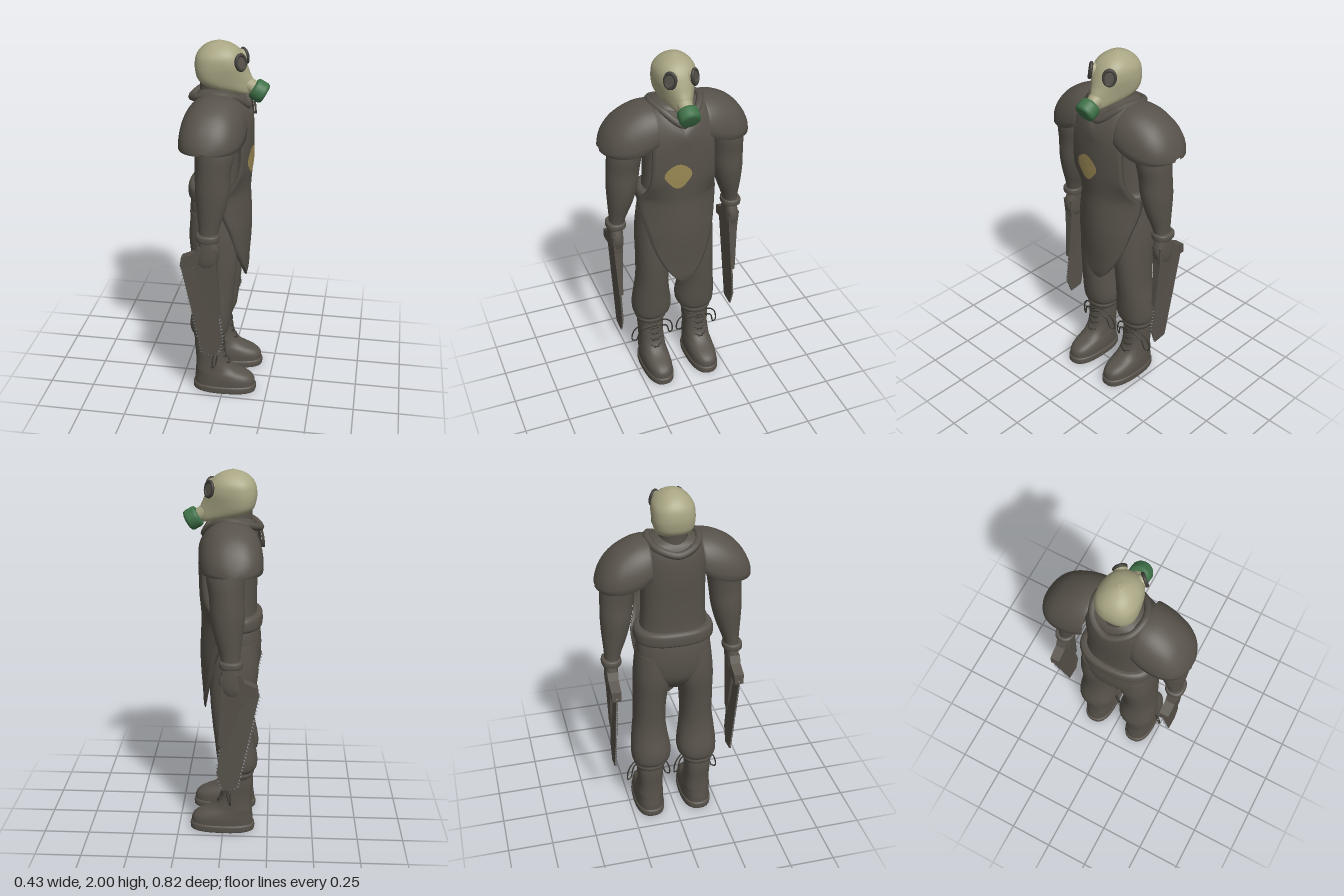
import * as THREE from 'three';
import { mergeGeometries } from 'three/addons/utils/BufferGeometryUtils.js';

const mat = (name, color) => new THREE.MeshStandardMaterial({ name, color });
const V = (x, y, z) => new THREE.Vector3(x, y, z);

// Catmull-Rom refinement of rows of numbers
function refine(rows, n = 4) {
  const out = [];
  for (let i = 0; i < rows.length - 1; i++) {
    const [a, b, c, d] = [-1, 0, 1, 2].map(k => rows[Math.min(rows.length - 1, Math.max(0, i + k))]);
    for (let s = 0; s < n; s++) {
      const t = s / n;
      out.push(b.map((p, k) => {
        const quad = 2 * a[k] - 5 * p + 4 * c[k] - d[k];
        const cubic = 3 * (p - c[k]) + d[k] - a[k];
        return p + 0.5 * t * (c[k] - a[k] + t * (quad + t * cubic));
      }));
    }
  }
  out.push(rows[rows.length - 1]);
  return out;
}

// Closed skin over a stack of equal-length rings
function skin(rings, caps = true) {
  const n = rings[0].length, pos = [], idx = [];
  rings.forEach(r => r.forEach(p => pos.push(p.x, p.y, p.z)));
  for (let i = 0; i < rings.length - 1; i++)
    for (let j = 0; j < n; j++) {
      const a = i * n + j, b = i * n + (j + 1) % n;
      idx.push(a, a + n, b, b, a + n, b + n);
    }
  if (caps) [0, rings.length - 1].forEach(k => {
    const base = pos.length / 3, r = rings[k];
    const mid = r.reduce((s, p) => s.add(p), V(0, 0, 0)).divideScalar(n);
    [mid, ...r].forEach(p => pos.push(p.x, p.y, p.z));
    for (let j = 0; j < n; j++) {
      const a = base + 1 + j, b = base + 1 + (j + 1) % n;
      idx.push(base, k ? b : a, k ? a : b);
    }
  });
  const g = new THREE.BufferGeometry();
  g.setAttribute('position', new THREE.Float32BufferAttribute(pos, 3));
  g.setIndex(idx);
  g.computeVertexNormals();
  return g;
}

// Rows, bottom to top: y, centre x, centre z, half depth, half width, forward taper
function loft(rows, power = 2, seg = 28) {
  const e = v => Math.sign(v) * Math.abs(v) ** (2 / power);
  const fine = refine(rows.map(r => [...r, 0].slice(0, 6)));
  return skin(fine.map(([y, cx, cz, rx, rz, t]) => Array.from({ length: seg }, (_, j) => {
    const a = j / seg * Math.PI * 2, c = e(Math.cos(a));
    return V(cx + rx * c, y, cz + rz * e(Math.sin(a)) * (1 - t * c));
  })));
}

// Mirror a geometry across z with its winding put right
function mirrored(geo) {
  const g = geo.clone().scale(1, 1, -1);
  const src = g.index ? [...g.index.array] : Array.from({ length: g.attributes.position.count }, (_, i) => i);
  for (let i = 0; i < src.length; i += 3) [src[i + 1], src[i + 2]] = [src[i + 2], src[i + 1]];
  g.setIndex(src);
  return g;
}

const tube = (pts, r, closed = false, n = 32) =>
  new THREE.TubeGeometry(new THREE.CatmullRomCurve3(pts.map(p => V(...p)), closed), n, r, 8, closed);

// Flat outline in x and y, extruded around z = 0
function plate(pts, depth) {
  const shape = new THREE.Shape(pts.map(p => new THREE.Vector2(...p)));
  return new THREE.ExtrudeGeometry(shape, { depth, bevelEnabled: false }).translate(0, 0, -depth / 2);
}

// Apron rows: y, front x, half width, sideways curvature, thickness
const apronRows = refine([
  [0.68, 0.108, 0.02, 1, 0.004], [0.72, 0.115, 0.06, 1, 0.015], [0.8, 0.12, 0.115, 1.5, 0.018],
  [0.9, 0.128, 0.16, 2, 0.02], [1.0, 0.132, 0.185, 2.2, 0.02], [1.1, 0.13, 0.207, 2.5, 0.02],
  [1.2, 0.125, 0.218, 2.5, 0.02], [1.26, 0.128, 0.195, 2, 0.02], [1.35, 0.135, 0.177, 1.2, 0.02],
  [1.5, 0.138, 0.17, 1.1, 0.02], [1.6, 0.132, 0.163, 1.4, 0.02], [1.68, 0.112, 0.15, 2, 0.02], [1.745, 0.075, 0.14, 2.5, 0.004]]);
function apronX(y, z) {
  const i = Math.max(1, apronRows.findIndex(r => r[0] >= y));
  const [a, b] = [apronRows[i - 1], apronRows[i]], t = (y - a[0]) / (b[0] - a[0]);
  return a[1] + (b[1] - a[1]) * t - (a[3] + (b[3] - a[3]) * t) * z * z;
}

export function createModel() {
  const model = new THREE.Group();
  const cloth = mat('dark brown cloth', 0x57524a), mask = mat('pale mask', 0xa9a684), green = mat('green filter', 0x3f7148);
  const ochre = mat('ochre patch', 0x9c8a55), dark = mat('dark rim', 0x403e39), cord = mat('lace cord', 0x38352f);
  const steel = mat('steel teeth', 0x9aa1a8);
  const add = (name, g, m) => {
    const mesh = new THREE.Mesh(g, m);
    mesh.name = name;
    model.add(mesh);
  };
  const both = (name, g, m) => { add('left ' + name, mirrored(g), m); add('right ' + name, g, m); };

  // Torso, belt and collar
  add('torso', loft([
    [0.87, -0.06, 0, 0.07, 0.08], [0.95, -0.06, 0, 0.125, 0.17], [1.05, -0.065, 0, 0.135, 0.2],
    [1.15, -0.06, 0, 0.133, 0.2], [1.25, -0.055, 0, 0.12, 0.178], [1.4, -0.055, 0, 0.12, 0.17],
    [1.55, -0.055, 0, 0.127, 0.17], [1.67, -0.05, 0, 0.125, 0.17], [1.735, -0.05, 0, 0.1, 0.15], [1.76, -0.05, 0, 0.06, 0.08]], 2.4, 36), cloth);
  add('belt', loft([[1.17, -0.06, 0, 0.135, 0.2], [1.185, -0.06, 0, 0.146, 0.215], [1.235, -0.06, 0, 0.144, 0.212], [1.25, -0.058, 0, 0.13, 0.19]], 2.4, 36), cloth);
  add('collar', tube([[-0.188, 1.7, 0], [-0.14, 1.725, 0.1], [-0.04, 1.75, 0.132], [0.05, 1.73, 0.095], [0.108, 1.665, 0],
    [0.05, 1.73, -0.095], [-0.04, 1.75, -0.132], [-0.14, 1.725, -0.1]], 0.02, true, 64), cloth);
  add('neck', loft([[1.68, -0.055, 0, 0.095, 0.09], [1.75, -0.06, 0, 0.085, 0.075], [1.83, -0.06, 0, 0.085, 0.075]]), cloth);

  // Apron with a V at the neck
  const cols = 20;
  add('apron', skin(apronRows.map(([y, fx, w, k, th]) => {
    const row = back => Array.from({ length: cols + 1 }, (_, j) => {
      const z = (back ? -1 : 1) * w * (2 * j / cols - 1);
      const dip = 0.09 * Math.max(0, 1 - Math.abs(z) / 0.1) * Math.max(0, (y - 1.55) / 0.2);
      return V(fx - k * z * z - (back ? th : 0) + dip * 0.3, y - dip, z);
    });
    return [...row(false), ...row(true)];
  })), cloth);

  // Painted patch that follows the chest
  const patch = new THREE.RingGeometry(0.001, 0.07, 22, 4), pp = patch.attributes.position;
  for (let i = 0; i < pp.count; i++) {
    const a = Math.atan2(pp.getY(i), pp.getX(i)), s = 1 + 0.06 * Math.cos(4 * a) + 0.04 * Math.sin(3 * a);
    const z = 0.043 - pp.getX(i) * s, y = 1.388 + pp.getY(i) * s;
    pp.setXYZ(i, apronX(y, z) + 0.004, y, z);
  }
  patch.computeVertexNormals();
  add('chest patch', patch, ochre);

  // Masked head
  add('masked head', loft([
    [1.73, 0.09, 0, 0.03, 0.03, 0.1], [1.745, 0.06, 0, 0.07, 0.05, 0.2], [1.77, 0.012, 0, 0.123, 0.075, 0.35],
    [1.8, -0.01, 0, 0.142, 0.09, 0.4], [1.84, -0.026, 0, 0.14, 0.102, 0.28], [1.88, -0.035, 0, 0.135, 0.108, 0.15],
    [1.925, -0.04, 0, 0.122, 0.104, 0.08], [1.96, -0.042, 0, 0.097, 0.082], [1.985, -0.043, 0, 0.06, 0.05], [2.0, -0.043, 0, 0.012, 0.012]], 2.3, 40), mask);

  // Goggle eyes
  const gaze = new THREE.Matrix4().lookAt(V(0.72, 0.15, 0.68), V(0, 0, 0), V(0, 1, 0));
  const place = g => g.scale(0.85, 1.08, 1).applyMatrix4(gaze).translate(0.077, 1.907, 0.066);
  both('goggle cup', place(new THREE.CylinderGeometry(0.037, 0.04, 0.04, 24).rotateX(Math.PI / 2).translate(0, 0, -0.018)), mask);
  both('goggle rim', place(new THREE.TorusGeometry(0.035, 0.009, 10, 28)), dark);
  both('goggle lens', place(new THREE.CircleGeometry(0.034, 24).translate(0, 0, 0.004)), cloth);

  // Breathing filter
  const turn = g => g.rotateZ(-2.09).translate(0.165, 1.743, 0);
  const filterProfile = [[0, -0.036], [0.044, -0.036], [0.054, -0.03], [0.057, -0.018], [0.057, 0.02], [0.052, 0.032], [0.04, 0.037], [0, 0.037]];
  add('filter', turn(new THREE.LatheGeometry(filterProfile.map(p => new THREE.Vector2(...p)), 28)), green);
  add('filter neck', turn(new THREE.CylinderGeometry(0.034, 0.042, 0.05, 20).translate(0, -0.052, 0)), mask);

  // Shoulder guards, thick arches marching outward: z, half depth, top, base, thickness
  const guard = refine([[0.135, 0.158, 1.755, 1.585, 0.001], [0.15, 0.163, 1.757, 1.575, 0.016], [0.2, 0.167, 1.752, 1.55, 0.016],
    [0.26, 0.163, 1.73, 1.53, 0.016], [0.32, 0.148, 1.692, 1.522, 0.016], [0.37, 0.115, 1.635, 1.52, 0.016],
    [0.4, 0.065, 1.575, 1.52, 0.012], [0.412, 0.02, 1.535, 1.522, 0.001]], 3);
  both('shoulder guard', skin(guard.map(([z, w, top, base, th]) => {
    const arc = (back, d) => Array.from({ length: 25 }, (_, j) => {
      const a = Math.PI * (back ? j / 24 : 1 - j / 24), c = Math.cos(a), s = Math.max(0, Math.sin(a));
      return V(-0.037 - 0.08 * (z - 0.14) + (w - d) * Math.sign(c) * Math.abs(c) ** 0.9, base + (top - d - base) * s ** 0.85, z);
    });
    return [...arc(false, 0), ...arc(true, th)];
  }), false), cloth);

  // Arms, cuffs and hands
  both('arm', loft([[1.03, -0.05, 0.336, 0.046, 0.038], [1.1, -0.045, 0.328, 0.054, 0.046], [1.2, -0.035, 0.313, 0.075, 0.068], [1.3, -0.03, 0.302, 0.09, 0.083],
    [1.4, -0.025, 0.294, 0.09, 0.088], [1.5, -0.02, 0.284, 0.1, 0.092], [1.6, -0.03, 0.26, 0.1, 0.092], [1.69, -0.04, 0.21, 0.075, 0.07]]), cloth);
  both('cuff', loft([[1.03, -0.05, 0.338, 0.05, 0.044], [1.037, -0.05, 0.338, 0.061, 0.053], [1.063, -0.05, 0.338, 0.061, 0.053], [1.07, -0.05, 0.338, 0.05, 0.044]], 2.4), cloth);
  both('hand', loft([[0.87, -0.06, 0.34, 0.03, 0.022], [0.91, -0.055, 0.34, 0.055, 0.034], [0.97, -0.047, 0.34, 0.058, 0.036], [1.035, -0.05, 0.338, 0.04, 0.034]], 2.5), cloth);

  // Saw: tapering housing, thin blade and outward teeth
  const housing = plate([[-0.1, 1.0], [0.005, 0.99], [-0.002, 0.88], [0.016, 0.6], [-0.02, 0.575], [-0.06, 0.68], [-0.12, 0.88],
    [-0.195, 0.875], [-0.19, 0.93], [-0.12, 0.96]], 1);
  const hp = housing.attributes.position;
  for (let i = 0; i < hp.count; i++) hp.setZ(i, hp.getZ(i) * (0.02 + 0.04 * (hp.getY(i) - 0.575) / 0.425));
  housing.computeVertexNormals();
  both('saw housing', housing.translate(0, 0, 0.341), cloth);
  both('saw blade', plate([[-0.2, 0.89], [-0.16, 0.92], [0, 0.62], [0.026, 0.43], [-0.005, 0.335], [-0.085, 0.345]], 0.01).translate(0, 0, 0.341), cloth);
  const teeth = [];
  const edge = (x0, y0, x1, y1, n) => {
    for (let i = 0; i < n; i++) {
      const t = (i + 0.5) / n;
      teeth.push(new THREE.ConeGeometry(0.009, 0.024, 4).scale(1, 1, 0.5).rotateZ(Math.atan2(y1 - y0, x1 - x0) + 0.35)
        .translate(x0 + (x1 - x0) * t, y0 + (y1 - y0) * t, 0.341));
    }
  };
  edge(-0.085, 0.345, -0.2, 0.885, 28);
  edge(-0.005, 0.335, -0.085, 0.345, 4);
  edge(0.026, 0.43, -0.005, 0.335, 5);
  edge(0.008, 0.57, 0.026, 0.43, 7);
  both('saw teeth', mergeGeometries(teeth), steel);

  // Baggy trouser legs gathered above the boots
  both('trouser leg', loft([[0.325, -0.08, 0.14, 0.08, 0.078], [0.35, -0.08, 0.14, 0.09, 0.09], [0.367, -0.08, 0.14, 0.088, 0.088], [0.39, -0.08, 0.135, 0.106, 0.107],
    [0.45, -0.075, 0.133, 0.112, 0.112], [0.55, -0.06, 0.136, 0.108, 0.1], [0.65, -0.05, 0.135, 0.11, 0.09], [0.8, -0.05, 0.13, 0.122, 0.092],
    [0.95, -0.06, 0.115, 0.13, 0.105], [1.1, -0.06, 0.11, 0.12, 0.095]], 2.2), cloth);

  // Boots
  both('boot', loft([[0.03, 0.005, 0.14, 0.172, 0.08, 0.05], [0.075, 0.004, 0.14, 0.17, 0.08, 0.06], [0.105, -0.01, 0.14, 0.152, 0.077, 0.1], [0.135, -0.045, 0.14, 0.115, 0.074, 0.1],
    [0.17, -0.065, 0.14, 0.093, 0.072], [0.22, -0.075, 0.14, 0.084, 0.07], [0.3, -0.083, 0.14, 0.082, 0.074], [0.35, -0.082, 0.14, 0.08, 0.074]], 2.5, 32), cloth);
  both('boot sole', loft([[0, 0.005, 0.14, 0.172, 0.08, 0.05], [0.006, 0.005, 0.14, 0.18, 0.086, 0.05],
    [0.034, 0.005, 0.14, 0.18, 0.086, 0.05], [0.042, 0.005, 0.14, 0.172, 0.08, 0.05]], 2.5, 32), cloth);

  // Laces: crossed rungs and a drooping bow
  const laces = [];
  for (const s of [-1, 1]) {
    for (const [y, x] of [[0.17, 0.03], [0.21, 0.012], [0.25, 0.005], [0.29, 0.002]])
      laces.push(tube([[x - 0.012, y - 0.012, 0.14 - s * 0.035], [x + 0.002, y, 0.14], [x - 0.012, y + 0.012, 0.14 + s * 0.035]], 0.004, false, 8));
    laces.push(tube([[0, 0.31, 0.14], [-0.02, 0.32, 0.14 + s * 0.06], [-0.04, 0.27, 0.14 + s * 0.115], [-0.045, 0.2, 0.14 + s * 0.125],
      [-0.035, 0.2, 0.14 + s * 0.105], [-0.02, 0.27, 0.14 + s * 0.08], [0, 0.305, 0.14]], 0.004));
  }
  both('boot laces', mergeGeometries(laces), cord);

  return model;
}
